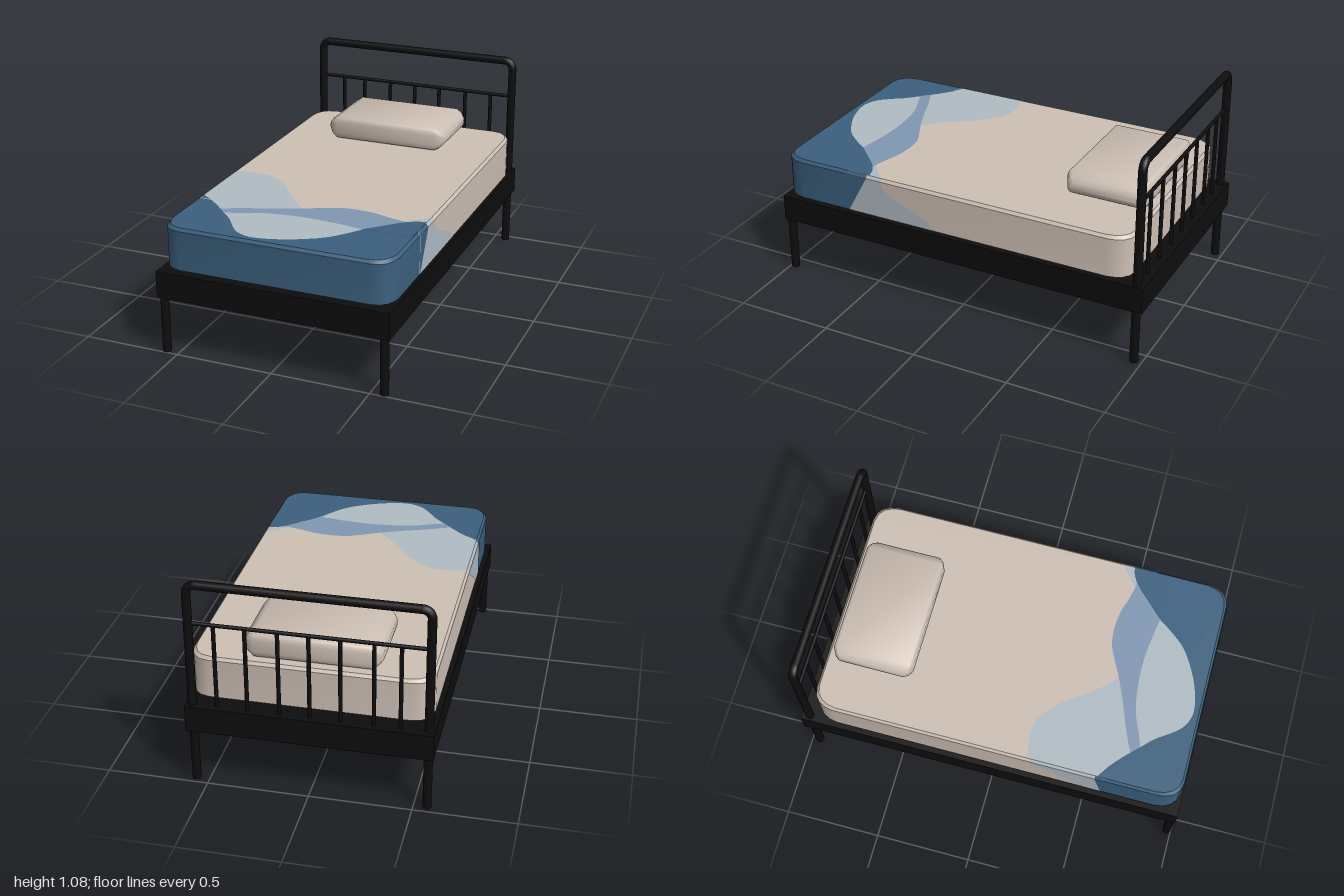
import * as THREE from 'three';
import { toCreasedNormals } from 'three/addons/utils/BufferGeometryUtils.js';

const mat = (name, color) => new THREE.MeshStandardMaterial({ name, color, side: THREE.DoubleSide });

export function createModel() {
  const bed = new THREE.Group();
  bed.name = 'bed';
  const black = mat('black metal', 0x0d0d0d);
  const beige = mat('beige fabric', 0xcdbfb4);
  const navy = mat('navy fabric', 0x3b607e);
  const pale = mat('pale blue fabric', 0xb0bbc3);
  const blue = mat('mid blue fabric', 0x8098b2);

  const add = (name, geo, material, x = 0, y = 0, z = 0) => {
    const m = new THREE.Mesh(geo, material);
    m.name = name;
    m.position.set(x, y, z);
    bed.add(m);
    return m;
  };

  // Closed loft through rings of equal length, capped with fans
  const loft = (rings, crease) => {
    const n = rings[0].length, idx = [];
    for (let r = 0; r < rings.length - 1; r++) {
      for (let i = 0; i < n; i++) {
        const a = r * n + i, b = r * n + (i + 1) % n;
        idx.push(a, b, b + n, a, b + n, a + n);
      }
    }
    const last = (rings.length - 1) * n;
    for (let i = 1; i < n - 1; i++) {
      idx.push(0, i + 1, i, last, last + i, last + i + 1);
    }
    const g = new THREE.BufferGeometry();
    g.setAttribute('position', new THREE.Float32BufferAttribute(rings.flat(2), 3));
    g.setIndex(idx);
    return toCreasedNormals(g, crease);
  };

  // Bed base and front legs
  add('bedBase', new THREE.BoxGeometry(1.19, 0.135, 2), black, 0, 0.3575, 0);
  const R = 0.0215, PX = 0.565, BZ = -0.96, BEND = 0.045, TOP = 1.0585;
  for (const s of [-1, 1]) {
    add('frontLeg', new THREE.CylinderGeometry(R, R, 0.3, 16), black, s * PX, 0.15, 0.978);
    // Headboard post and bent corner
    const h = TOP - BEND;
    add('headboardPost', new THREE.CylinderGeometry(R, R, h, 16), black, s * PX, h / 2, BZ);
    const bend = add('headboardBend', new THREE.TorusGeometry(BEND, R, 12, 8, Math.PI / 2), black,
      s * (PX - BEND), h, BZ);
    if (s < 0) bend.rotation.y = Math.PI;
  }

  // Headboard rails and bars
  const rail = (name, r, len, y) => {
    add(name, new THREE.CylinderGeometry(r, r, len, 16), black, 0, y, BZ).rotation.z = Math.PI / 2;
  };
  rail('headboardTopRail', R, 2 * (PX - BEND), TOP);
  rail('headboardMiddleRail', 0.0095, 2 * PX, 0.859);
  for (const x of [-0.432, -0.307, -0.15, -0.003, 0.143, 0.297, 0.445]) {
    add('headboardBar', new THREE.CylinderGeometry(0.01, 0.01, 0.46, 10), black, x, 0.63, BZ);
  }

  // Mattress halves: navy foot and beige head, with rounded corners and a bevelled top
  const XL = -0.572, XR = 0.592, Y0 = 0.445, Y1 = 0.645, Y2 = 0.66, IN = 0.012, SPLIT = 0.6;
  const corner = [[0, 0.11], [0.008, 0.07], [0.025, 0.035], [0.055, 0.01], [0.1, 0]];
  const half = (zEnd) => {
    const d = Math.sign(zEnd);
    const ring = (y, k) => {
      const left = corner.map(([dx, dz]) => [XL + k + dx, y, zEnd - d * (k + dz)]);
      const right = corner.map(([dx, dz]) => [XR - k - dx, y, zEnd - d * (k + dz)]).reverse();
      const pts = [[XL + k, y, SPLIT], ...left, ...right, [XR - k, y, SPLIT]];
      return d > 0 ? pts : pts.reverse();
    };
    return loft([ring(Y0, 0), ring(Y1, 0), ring(Y2, IN)], 0.6);
  };
  add('mattressFoot', half(0.985), navy);
  add('mattressHead', half(-0.92), beige);

  // Thin fabric panel: a flat polygon placed by a mapping rule
  const panel = (name, pts, material, map) => {
    const g = new THREE.ShapeGeometry(new THREE.Shape(pts.map(p => new THREE.Vector2(...p))));
    const p = g.attributes.position;
    for (let i = 0; i < p.count; i++) p.setXYZ(i, ...map(p.getX(i), p.getY(i)));
    // Face the panel away from the mattress
    g.computeVertexNormals();
    const n = g.attributes.normal;
    if (n.getY(0) < -0.01 || n.getX(0) * p.getX(0) < -0.01 && Math.abs(n.getY(0)) < 0.9) {
      g.index.array.reverse();
      g.computeVertexNormals();
    }
    add(name, g, material);
  };
  const onTop = (lift) => (x, z) => [x, Y2 + lift, z];
  const L = XL + IN, Rt = XR - IN;

  // Top pattern: curves running left to right
  const smooth = (pts, n = 24) =>
    new THREE.SplineCurve(pts.map(p => new THREE.Vector2(...p))).getPoints(n).map(v => [v.x, v.y]);
  const paleHill = smooth([[L, 0.205], [-0.5, 0.19], [-0.42, 0.185], [-0.35, 0.2], [-0.27, 0.26],
    [-0.2, 0.34], [-0.13, 0.44], [-0.03, 0.545]]);
  const bowl = smooth([[L, 0.56], [-0.5, 0.6], [-0.43, 0.66], [-0.36, 0.73], [-0.3, 0.79], [-0.25, 0.86],
    [-0.2, 0.915], [-0.13, 0.945], [-0.05, 0.94], [0.05, 0.91], [0.15, 0.86], [0.22, 0.81],
    [0.28, 0.74], [0.33, 0.67]], 40);
  const waveTop = smooth([[-0.4, 0.69], [-0.3, 0.645], [-0.15, 0.59], [-0.03, 0.54], [0.05, 0.5],
    [0.13, 0.465], [0.22, 0.455], [0.32, 0.465], [0.4, 0.49], [0.49, 0.51]]);
  const waveLow = smooth([[-0.36, 0.73], [-0.3, 0.71], [-0.2, 0.67], [-0.1, 0.65], [0.03, 0.64],
    [0.15, 0.645], [0.25, 0.658], [0.33, 0.67]]);
  const rightEdge = smooth([[0.33, 0.67], [0.4, 0.6], [0.47, 0.53], [0.53, 0.49], [Rt, 0.477]]);
  panel('paleTopPatch', [...paleHill, [0.1, 0.6], ...bowl.slice().reverse()], pale, onTop(0.001));
  panel('paleRightPatch', [[Rt, 0.418], [0.55, 0.44], [0.47, 0.505], [0.5, 0.53], [Rt, 0.49]], pale, onTop(0.001));
  panel('blueWave', [...waveTop, ...rightEdge.slice(0, -8).reverse(), ...waveLow.slice().reverse()],
    blue, onTop(0.002));
  panel('navyLeftCorner', [[L, 0.56], [-0.53, 0.58], [-0.5, 0.6], [L, 0.6]], navy, onTop(0.003));
  panel('navyRightCorner', [...rightEdge, [Rt, 0.67]], navy, onTop(0.003));

  // Side pattern: a panel on the flat side plus a strip on the bevel above it
  const sidePanel = (name, s, pts, material, lift) => {
    const x = s > 0 ? XR : XL;
    panel(name, pts, material, (z, y) => [x + s * lift, y, z]);
    const zs = pts.filter(p => p[1] === Y1).map(p => p[0]);
    const a = Math.min(...zs), b = Math.max(...zs);
    panel(name + 'Bevel', [[a, 0], [b, 0], [b, 1], [a, 1]], material,
      (z, t) => [x + s * (lift - IN * t), Y1 + (Y2 - Y1) * t + lift, z]);
  };
  sidePanel('paleRightSide', 1, [[0.405, Y1], [0.4, 0.61], [0.36, 0.58], [0.27, 0.54], [0.19, 0.51],
    [0.14, 0.48], [0.115, Y0], [0.6, Y0], [0.6, Y1]], pale, 0.001);
  sidePanel('navyRightSide', 1, [[0.49, Y1], [0.598, Y0], [0.601, Y0], [0.601, Y1]], navy, 0.002);
  sidePanel('paleLeftSide', -1, [[0.215, Y1], [0.28, 0.59], [0.4, 0.52], [0.5, Y0], [0.6, Y0], [0.6, Y1]],
    pale, 0.001);
  sidePanel('navyLeftSide', -1, [[0.55, Y1], [0.59, Y0], [0.601, Y0], [0.601, Y1]], navy, 0.002);

  // Pillow: rounded sections that shrink towards both ends
  const quarter = [[1, 0.45], [0.985, 0.72], [0.95, 0.92], [0.89, 1]];
  const section = [
    ...quarter,
    ...quarter.map(([z, y]) => [-z, y]).reverse(),
    ...quarter.map(([z, y]) => [-z, -y]),
    ...quarter.map(([z, y]) => [z, -y]).reverse(),
  ];
  const stations = [[0.33, 0.172, 0.02], [0.312, 0.192, 0.042], [0.28, 0.207, 0.0615]];
  const ends = [...stations.map(([x, d, h]) => [-x, d, h]), ...stations.slice().reverse()];
  const rings = ends.map(([x, d, h]) => section.map(([z, y]) => [x, y * h, z * d]).reverse());
  add('pillow', loft(rings, 0.8), beige, 0.003, 0.7215, -0.6725);

  return bed;
}
